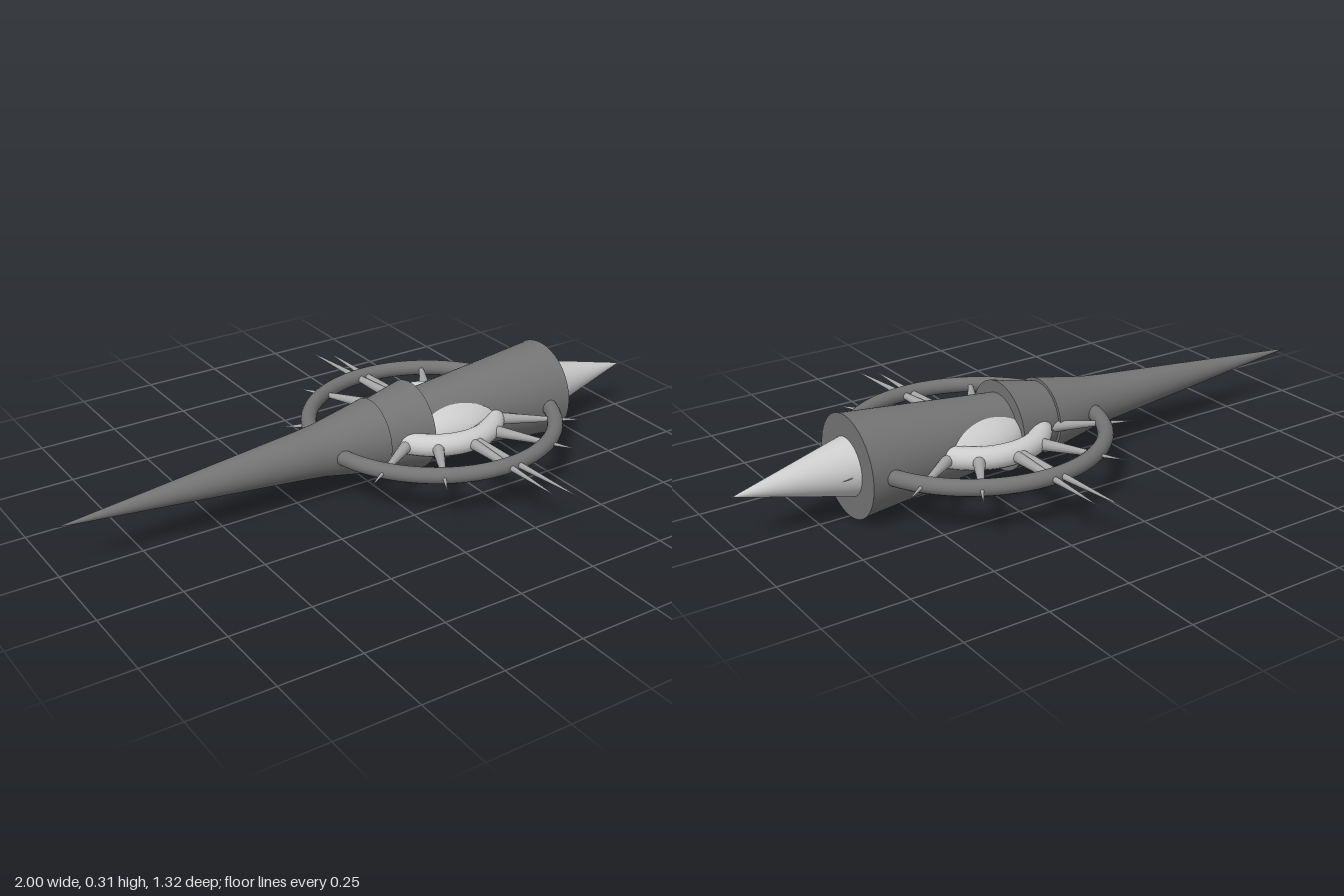
import * as THREE from 'three';

const AXIS_Y = 0.154; // height of the long axis
const HUB_X = 0.235; // centre of the rings

export function createModel() {
  const dark = new THREE.MeshStandardMaterial({ color: 0x747474 });
  dark.name = 'darkMetal';
  const light = new THREE.MeshStandardMaterial({ color: 0xcccccc });
  light.name = 'paleMetal';
  const mid = new THREE.MeshStandardMaterial({ color: 0xa6a6a6 });
  mid.name = 'spikeMetal';

  const model = new THREE.Group();
  model.name = 'spikedSpindle';
  const add = (name, geometry, material, x = 0, z = 0, parent = model) => {
    const mesh = new THREE.Mesh(geometry, material);
    mesh.name = name;
    mesh.position.set(x, AXIS_Y, z);
    parent.add(mesh);
    return mesh;
  };

  // Body sections turned around the x axis; each profile is [x, radius]
  const turned = (name, profile, material) => {
    const points = profile.map(([x, r]) => new THREE.Vector2(r, x));
    add(name, new THREE.LatheGeometry(points, 64).rotateZ(-Math.PI / 2), material);
  };
  const cap = (name, x, r, side) =>
    add(name, new THREE.CircleGeometry(r, 64).rotateY(side * Math.PI / 2), dark, x);

  turned('tail', [[-1, 0], [-0.6, 0.038], [-0.24, 0.072], [-0.17, 0.08], [0.012, 0.115]], dark);
  cap('tailRim', 0.012, 0.115, 1);
  turned('collar', [[0.005, 0.104], [0.155, 0.138]], dark);
  cap('collarRim', 0.155, 0.138, 1);
  turned('barrel', [[0.15, 0.101], [0.65, 0.151], [0.656, 0.153]], dark);
  cap('barrelRim', 0.656, 0.153, 1);
  turned('nose', [[0.65, 0.088], [1, 0]], light);

  // Outer hoop, inner hoop and the flattened core bulging out of the barrel
  add('outerHoop', new THREE.TorusGeometry(0.379, 0.024, 16, 96).rotateX(Math.PI / 2), dark, HUB_X);
  add('innerHoop', new THREE.TorusGeometry(0.19, 0.034, 16, 72).rotateX(Math.PI / 2), light, HUB_X);
  add('core', new THREE.SphereGeometry(1, 48, 32).scale(0.2, 0.088, 0.155), light, HUB_X + 0.04);

  // Flat fan of spikes: [angle in degrees, tip distance, base radius]
  const spikes = new THREE.Group();
  spikes.name = 'spikes';
  model.add(spikes);
  const fan = [
    [10, 0.49, 0.017], [35, 0.475, 0.02], [60, 0.48, 0.02], [90, 0.61, 0.018],
    [85.5, 0.66, 0.017], [120, 0.48, 0.02], [146, 0.48, 0.02],
    [205, 0.48, 0.02], [240, 0.48, 0.02], [265.5, 0.66, 0.017], [270, 0.61, 0.018],
    [300, 0.48, 0.02], [324, 0.48, 0.02], [350, 0.49, 0.017],
  ];
  const start = 0.19;
  for (const [degrees, reach, radius] of fan) {
    const a = THREE.MathUtils.degToRad(degrees);
    const middle = (start + reach) / 2;
    const geometry = new THREE.ConeGeometry(radius, reach - start, 12).rotateZ(-Math.PI / 2);
    const spike = add('spike', geometry, mid,
      HUB_X + middle * Math.cos(a), middle * Math.sin(a), spikes);
    spike.rotation.y = -a;
  }

  return model;
}
